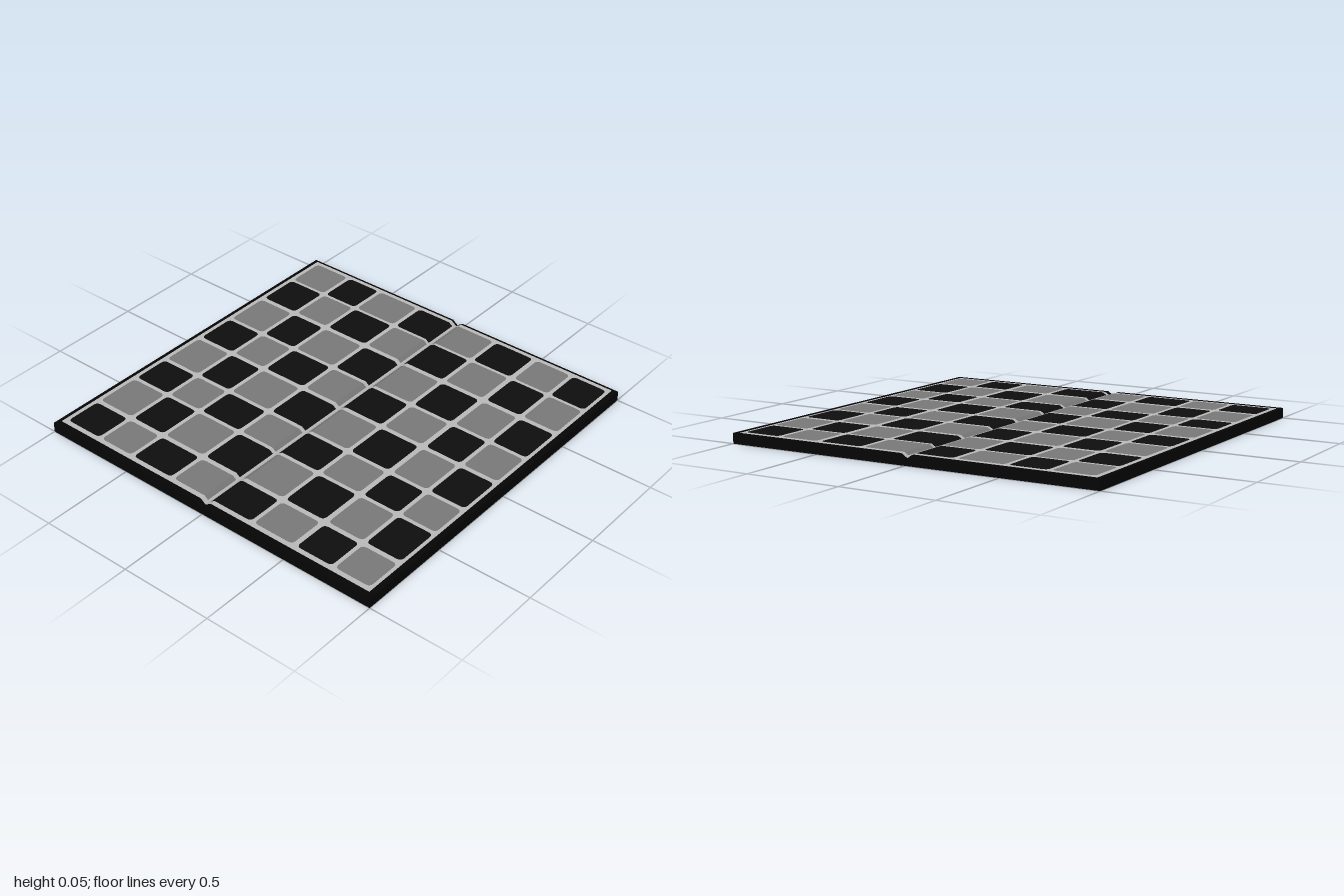
import * as THREE from 'three';

const TOP = 0.053;                                     // height of the playing face
const GROOVE = { left: -0.037, mid: -0.008, right: 0.027, y: 0.031 };

const boardBlack = new THREE.MeshStandardMaterial({ color: 0x050505 });
boardBlack.name = 'board black';
const squareBlack = new THREE.MeshStandardMaterial({ color: 0x0e0e0e });
squareBlack.name = 'square black';
const squareGrey = new THREE.MeshStandardMaterial({ color: 0x797979 });
squareGrey.name = 'square grey';
const lineGrey = new THREE.MeshStandardMaterial({ color: 0xbababa });
lineGrey.name = 'line light grey';

// Height of the board at x, following the fold groove
function surfaceY(x) {
  const { left, mid, right, y } = GROOVE;
  if (x <= left || x >= right) return TOP;
  const t = x < mid ? (mid - x) / (mid - left) : (x - mid) / (right - mid);
  return y + (TOP - y) * t;
}

function addMesh(parent, name, geometry, material) {
  const mesh = new THREE.Mesh(geometry, material);
  mesh.name = name;
  parent.add(mesh);
  return mesh;
}

// Painted rectangle lying on the surface between two x positions
function patch(x0, x1, z0, z1, lift) {
  const a = surfaceY(x0) + lift, b = surfaceY(x1) + lift;
  const geometry = new THREE.BufferGeometry();
  geometry.setAttribute('position', new THREE.Float32BufferAttribute(
    [x0, a, z0, x0, a, z1, x1, b, z1, x1, b, z0], 3));
  geometry.setIndex([0, 1, 2, 0, 2, 3]);
  geometry.computeVertexNormals();
  return geometry;
}

// Flat rectangle with separate corner radii on its left and right sides
function roundedPatch(x0, x1, z0, z1, rl, rr, lift) {
  const s = new THREE.Shape();
  const y0 = -z1, y1 = -z0;
  s.moveTo(x0 + rl, y0);
  s.lineTo(x1 - rr, y0);
  if (rr) s.quadraticCurveTo(x1, y0, x1, y0 + rr);
  s.lineTo(x1, y1 - rr);
  if (rr) s.quadraticCurveTo(x1, y1, x1 - rr, y1);
  s.lineTo(x0 + rl, y1);
  if (rl) s.quadraticCurveTo(x0, y1, x0, y1 - rl);
  s.lineTo(x0, y0 + rl);
  if (rl) s.quadraticCurveTo(x0, y0, x0 + rl, y0);
  return new THREE.ShapeGeometry(s, 4).rotateX(-Math.PI / 2).translate(0, TOP + lift, 0);
}

export function createModel() {
  const model = new THREE.Group();
  model.name = 'checkeredBoard';

  // Board slab with a V-shaped fold groove
  const profile = new THREE.Shape([
    [-1, 0], [1, 0], [1, TOP], [GROOVE.right, TOP],
    [GROOVE.mid, GROOVE.y], [GROOVE.left, TOP], [-1, TOP],
  ].map(([x, y]) => new THREE.Vector2(x, y)));
  const slab = new THREE.ExtrudeGeometry(profile, { depth: 2, bevelEnabled: false });
  addMesh(model, 'boardSlab', slab.translate(0, 0, -1), boardBlack);

  // Light sheet that shows as the grid lines, folded into the groove
  const sheet = new THREE.Group();
  sheet.name = 'gridLines';
  model.add(sheet);
  const folds = [-0.98, GROOVE.left, GROOVE.mid, GROOVE.right, 0.97];
  const names = ['leftSheet', 'grooveLeftWall', 'grooveRightWall', 'rightSheet'];
  names.forEach((name, i) =>
    addMesh(sheet, name, patch(folds[i], folds[i + 1], -0.987, 0.966, 0.001), lineGrey));

  // Slightly uneven columns and rows of squares
  const columns = [[-0.957, -0.743], [-0.722, -0.524], [-0.503, -0.257], [-0.235, -0.016],
    [0.006, 0.252], [0.273, 0.503], [0.53, 0.733], [0.754, 0.952]];
  const rows = [[-0.963, -0.757], [-0.74, -0.516], [-0.49, -0.254], [-0.233, -0.017],
    [0.008, 0.243], [0.265, 0.463], [0.484, 0.72], [0.746, 0.94]];
  const R = 0.025, LIFT = 0.002;

  rows.forEach(([z0, z1], r) => columns.forEach(([x0, x1], c) => {
    const material = (r + c) % 2 ? squareBlack : squareGrey;
    const square = new THREE.Group();
    square.name = `square${r + 1}_${c + 1}`;
    model.add(square);
    const left = c === 4 ? GROOVE.right : x0;
    const right = c === 3 ? GROOVE.left : x1;
    addMesh(square, 'squareFace',
      roundedPatch(left, right, z0, z1, c === 4 ? 0 : R, c === 3 ? 0 : R, LIFT), material);
    // Squares beside the fold continue down the groove wall
    if (c === 3) addMesh(square, 'squareFold', patch(right, x1, z0, z1, LIFT), material);
    if (c === 4) addMesh(square, 'squareFold', patch(x0, left, z0, z1, LIFT), material);
  }));

  return model;
}
